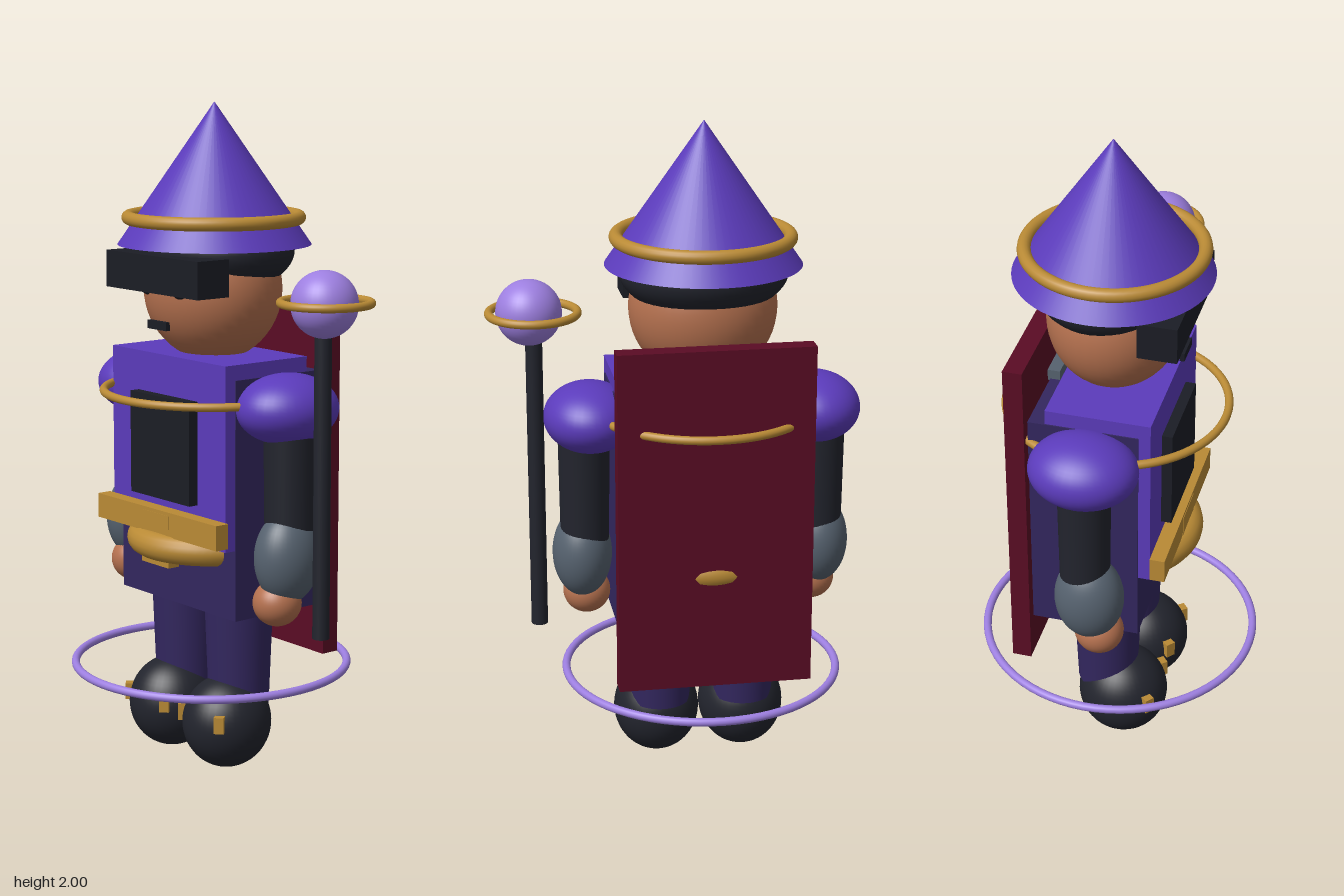
import * as THREE from 'three';

const mat = (name, color) => {
  const m = new THREE.MeshStandardMaterial({ color });
  m.name = name;
  return m;
};

export function createModel() {
  const root = new THREE.Group();
  root.name = 'wizard';
  const purple = mat('purple', 0x5b3bbb), indigo = mat('indigo', 0x33275f), gold = mat('gold', 0xb98a35),
    maroon = mat('maroon', 0x5a0c24), lilac = mat('lilac', 0x9d7fe0), skin = mat('skin', 0xb5714f),
    grey = mat('grey', 0x56626f), charcoal = mat('charcoal', 0x22242d), black = mat('black', 0x1b1d25);

  const CX = -0.085; // body axis
  const add = (name, geo, m, x, y, z) => {
    const mesh = new THREE.Mesh(geo, m);
    mesh.name = name;
    mesh.position.set(x, y, z);
    root.add(mesh);
    return mesh;
  };
  const box = (name, m, w, h, d, x, y, z) => add(name, new THREE.BoxGeometry(w, h, d), m, x, y, z);
  const ball = (name, m, rx, ry, rz, x, y, z) =>
    add(name, new THREE.SphereGeometry(1, 40, 28).scale(rx, ry, rz), m, x, y, z);
  const rod = (name, m, rTop, rBottom, y0, y1, x, z) =>
    add(name, new THREE.CylinderGeometry(rTop, rBottom, y1 - y0, 32), m, x, (y0 + y1) / 2, z);
  const ring = (name, m, R, r, x, y, z) =>
    add(name, new THREE.TorusGeometry(R, r, 16, 72).rotateX(Math.PI / 2), m, x, y, z);

  // Hat
  add('hat', new THREE.ConeGeometry(0.29, 0.42, 64), purple, CX, 1.79, -0.015);
  ring('hatBand', gold, 0.255, 0.02, CX, 1.66, -0.012);

  // Head
  ball('head', skin, 0.22, 0.22, 0.2, CX, 1.45, -0.008);
  ball('hair', charcoal, 0.25, 0.13, 0.213, CX, 1.565, -0.028);
  box('visor', black, 0.44, 0.11, 0.115, CX, 1.505, 0.167);
  for (const s of [-1, 1]) ball('eye', black, 0.028, 0.028, 0.028, CX + s * 0.075, 1.462, 0.172);
  box('mouth', black, 0.09, 0.025, 0.014, CX, 1.353, 0.197);

  // Torso and robe
  box('tunic', purple, 0.545, 0.55, 0.31, CX, 0.985, 0.01);
  box('robe', indigo, 0.553, 0.718, 0.325, CX, 0.856, -0.033);
  box('chestPanel', black, 0.285, 0.31, 0.035, CX, 0.985, 0.179);
  box('belt', gold, 0.58, 0.075, 0.045, CX, 0.763, 0.191);
  box('buckle', gold, 0.13, 0.16, 0.04, CX, 0.71, 0.195);
  ring('waistRing', gold, 0.219, 0.043, CX, 0.688, -0.007);
  ring('collarRing', gold, 0.328, 0.0125, CX, 1.142, -0.006);

  // Cape
  box('cape', maroon, 0.58, 1.045, 0.058, CX, 0.8625, -0.232);
  box('capeClasp', grey, 0.1, 0.035, 0.045, CX, 1.227, -0.188);

  // Limbs, mirrored about the body axis
  for (const s of [-1, 1]) {
    ball('shoulder', purple, 0.138, 0.104, 0.16, CX + s * 0.339, 1.127, -0.014);
    rod('arm', charcoal, 0.078, 0.073, 0.72, 1.12, CX + s * 0.358, -0.007);
    ball('cuff', grey, 0.09, 0.138, 0.103, CX + s * 0.365, 0.69, 0.007);
    ball('hand', skin, 0.072, 0.07, 0.073, CX + s * 0.35, 0.555, 0.032);

    rod('leg', indigo, 0.106, 0.092, 0.19, 0.55, CX + s * 0.13, -0.003);
    const bx = CX + s * 0.134;
    ball('boot', charcoal, 0.132, 0.142, 0.138, bx, 0.142, 0.047);
    for (const t of [-1, 1]) {
      const tab = box('bootTab', gold, 0.03, 0.05, 0.03, bx + t * 0.088, 0.17, 0.147);
      tab.rotation.y = t * 0.7;
    }
  }

  // Staff
  rod('staff', charcoal, 0.025, 0.025, 0.472, 1.4, 0.415, -0.007);
  ball('staffOrb', lilac, 0.097, 0.097, 0.097, 0.427, 1.45, 0);
  ring('staffRing', gold, 0.129, 0.0125, 0.416, 1.452, -0.015);

  // Ring around the ankles
  ring('groundRing', lilac, 0.418, 0.0125, CX, 0.297, 0);

  return root;
}
